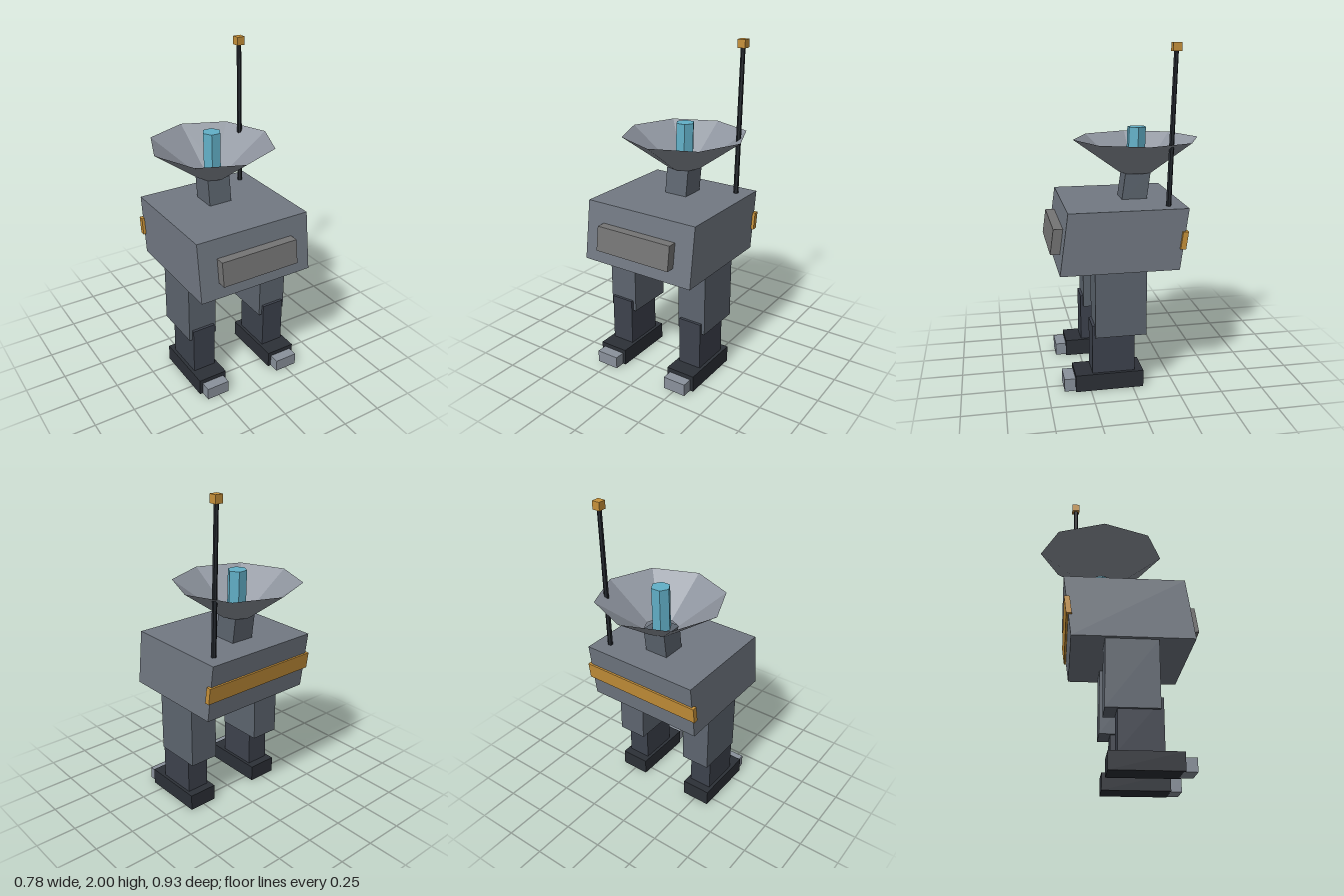
import * as THREE from 'three';

const COLORS = {
  hull: 0x727983, limb: 0x5d656f, shin: 0x3d424d, foot: 0x2c3037, toe: 0x8a929c,
  panel: 0x757575, amber: 0xc8923a, cyan: 0x62b0c8, dark: 0x23272d, dish: 0x8e949e,
};

function addMesh(parent, name, geometry, color, side = THREE.FrontSide) {
  const material = new THREE.MeshStandardMaterial({ color, flatShading: true, side });
  const mesh = new THREE.Mesh(geometry, material);
  mesh.name = name;
  parent.add(mesh);
  return mesh;
}

// Box from min/max extents; z0 and z1 apply at the base, lean shifts z per unit of height
function box(x0, x1, y0, y1, z0, z1, lean = 0) {
  const g = new THREE.BoxGeometry(x1 - x0, y1 - y0, z1 - z0);
  g.translate((x0 + x1) / 2, (y0 + y1) / 2, (z0 + z1) / 2);
  return shear(g, y0, lean);
}

function shear(g, y0, lean) {
  const p = g.attributes.position;
  for (let i = 0; i < p.count; i++) p.setZ(i, p.getZ(i) + (p.getY(i) - y0) * lean);
  g.computeVertexNormals();
  return g;
}

export function createModel() {
  const model = new THREE.Group();
  model.name = 'walkerRobot';
  const LEAN = -0.139;

  // Slanted body with front panel and rear stripe
  addMesh(model, 'body', box(-0.373, 0.373, 0.725, 1.085, -0.268, 0.423, LEAN), COLORS.hull);
  addMesh(model, 'frontPanel', box(-0.253, 0.253, 0.82, 0.968, 0.395, 0.465, LEAN), COLORS.panel);
  addMesh(model, 'rearStripe', box(-0.39, 0.39, 0.85, 0.953, -0.298, -0.266, LEAN), COLORS.amber);

  // Neck, open dish and feed horn
  addMesh(model, 'neck', box(-0.075, 0.075, 1.085, 1.24, -0.138, 0.014, LEAN), COLORS.limb);
  const dish = new THREE.CylinderGeometry(0.38, 0.103, 0.2, 8, 1, true);
  dish.translate(0, 1.34, -0.087);
  addMesh(model, 'dish', dish, COLORS.dish, THREE.DoubleSide);
  const feed = new THREE.CylinderGeometry(0.058, 0.058, 0.28, 6).toNonIndexed();
  feed.rotateY(Math.PI / 6).translate(0, 1.37, -0.081);
  addMesh(model, 'feedHorn', shear(feed, 1.23, -0.03), COLORS.cyan);

  // Leaning antenna with tip
  const mast = new THREE.CylinderGeometry(0.0135, 0.0155, 0.875, 6).toNonIndexed();
  mast.translate(0.286, 1.5225, -0.218);
  addMesh(model, 'antenna', shear(mast, 1.085, -0.035), COLORS.dark);
  addMesh(model, 'antennaTip', box(0.262, 0.311, 1.951, 2, -0.274, -0.225), COLORS.amber);

  // Legs
  for (const [name, side] of [['leftLeg', 1], ['rightLeg', -1]]) {
    const leg = new THREE.Group();
    leg.name = name;
    leg.position.x = side * 0.2545;
    addMesh(leg, 'thigh', box(-0.0925, 0.0925, 0.33, 0.725, -0.08, 0.221), COLORS.limb);
    addMesh(leg, 'shin', box(-0.073, 0.073, 0.1, 0.398, -0.012, 0.238), COLORS.shin);
    addMesh(leg, 'foot', box(-0.0925, 0.0925, 0, 0.102, -0.063, 0.34), COLORS.foot);
    addMesh(leg, 'toe', box(-0.073, 0.073, 0, 0.076, 0.33, 0.405), COLORS.toe);
    model.add(leg);
  }
  return model;
}
